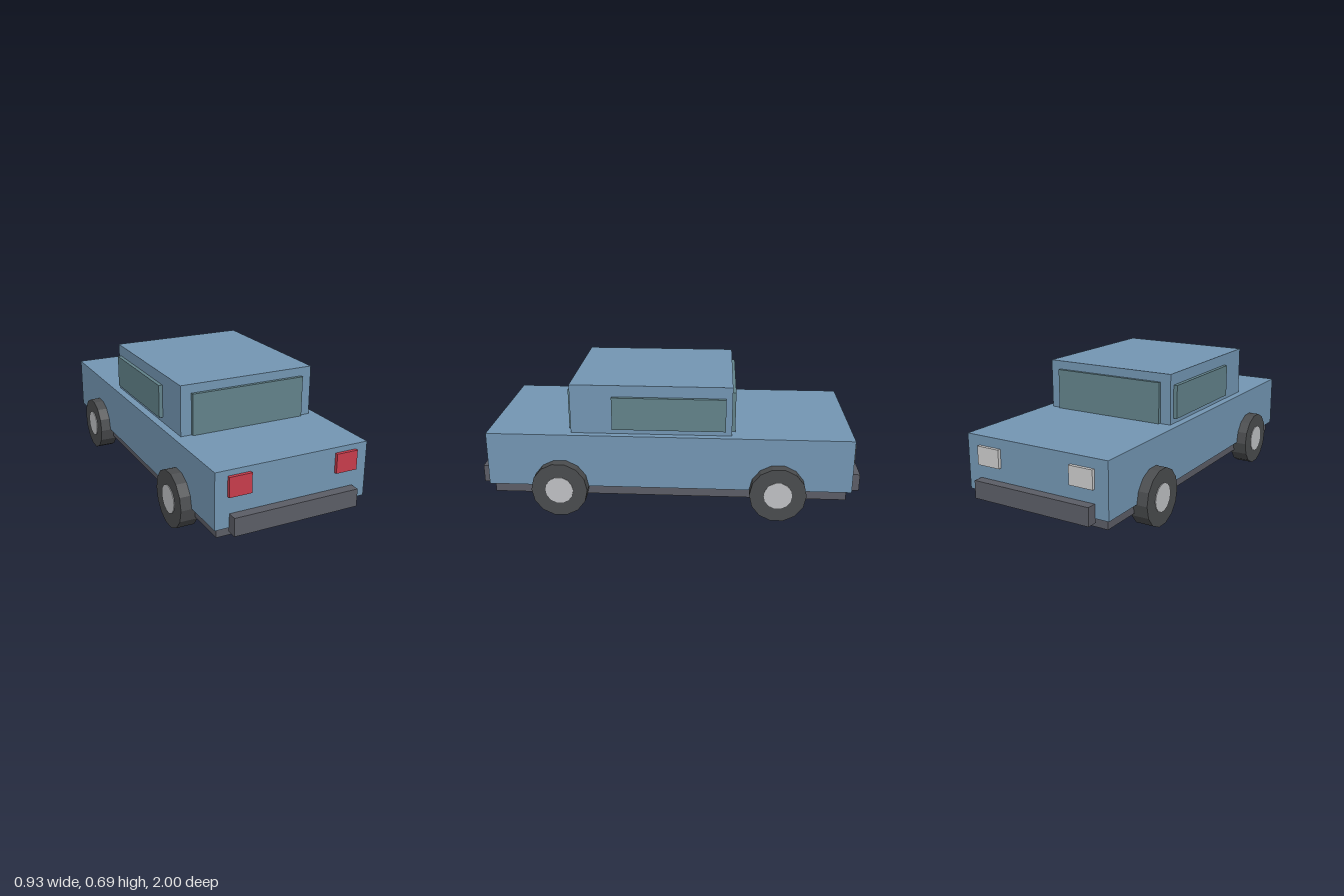
import * as THREE from 'three';

const mat = (color) => new THREE.MeshStandardMaterial({ color, flatShading: true });

export function createModel() {
  const car = new THREE.Group();
  car.name = 'car';
  const paint = mat(0x7396b3), glass = mat(0x62828a), trim = mat(0x5b5d66);
  const rubber = mat(0x4a4c4e), metal = mat(0xbfc1c4), red = mat(0xc83c4c), white = mat(0xdcdcd8);

  // Box from its lower and upper corners
  const box = (name, material, [x0, y0, z0], [x1, y1, z1]) => {
    const mesh = new THREE.Mesh(new THREE.BoxGeometry(x1 - x0, y1 - y0, z1 - z0), material);
    mesh.position.set((x0 + x1) / 2, (y0 + y1) / 2, (z0 + z1) / 2);
    mesh.name = name;
    car.add(mesh);
  };

  // Main volumes
  box('chassis', trim, [-0.387, 0.093, -0.925], [0.387, 0.15, 0.925]);
  box('body', paint, [-0.408, 0.145, -0.95], [0.408, 0.43, 0.95]);
  box('cabin', paint, [-0.368, 0.43, -0.325], [0.368, 0.69, 0.51]);

  // Windows standing proud of the cabin
  box('frontWindow', glass, [-0.311, 0.432, 0.49], [0.311, 0.645, 0.528]);
  box('rearWindow', glass, [-0.311, 0.432, -0.343], [0.311, 0.645, -0.305]);
  box('leftWindow', glass, [0.35, 0.458, -0.293], [0.388, 0.63, 0.293]);
  box('rightWindow', glass, [-0.388, 0.458, -0.293], [-0.35, 0.63, 0.293]);

  // Bumpers
  box('frontBumper', trim, [-0.334, 0.123, 0.945], [0.334, 0.215, 1]);
  box('rearBumper', trim, [-0.334, 0.123, -1], [0.334, 0.215, -0.945]);

  // Lamps, mirrored left and right
  for (const s of [-1, 1]) {
    const side = s > 0 ? 'left' : 'right';
    const lamp = (name, m, xc, w, y0, y1, z0, z1) =>
      box(name, m, [s * xc - w / 2, y0, z0], [s * xc + w / 2, y1, z1]);
    lamp(side + 'RedLamp', red, 0.286, 0.116, 0.302, 0.402, 0.94, 0.967);
    lamp(side + 'WhiteLamp', white, 0.27, 0.13, 0.285, 0.38, -0.967, -0.94);
  }

  // Wheels: faceted tyre with a slightly wider hub
  const tyreGeo = new THREE.CylinderGeometry(0.147, 0.147, 0.093, 14).rotateZ(Math.PI / 2);
  const hubGeo = new THREE.CylinderGeometry(0.073, 0.073, 0.1, 14).rotateZ(Math.PI / 2);
  for (const x of [-0.417, 0.417]) {
    for (const z of [-0.567, 0.567]) {
      const wheel = new THREE.Group();
      wheel.name = (z > 0 ? 'front' : 'rear') + (x > 0 ? 'Left' : 'Right') + 'Wheel';
      const tyre = new THREE.Mesh(tyreGeo, rubber);
      tyre.name = 'tyre';
      const hub = new THREE.Mesh(hubGeo, metal);
      hub.name = 'hub';
      wheel.add(tyre, hub);
      wheel.position.set(x, 0.1435, z);
      car.add(wheel);
    }
  }
  return car;
}
